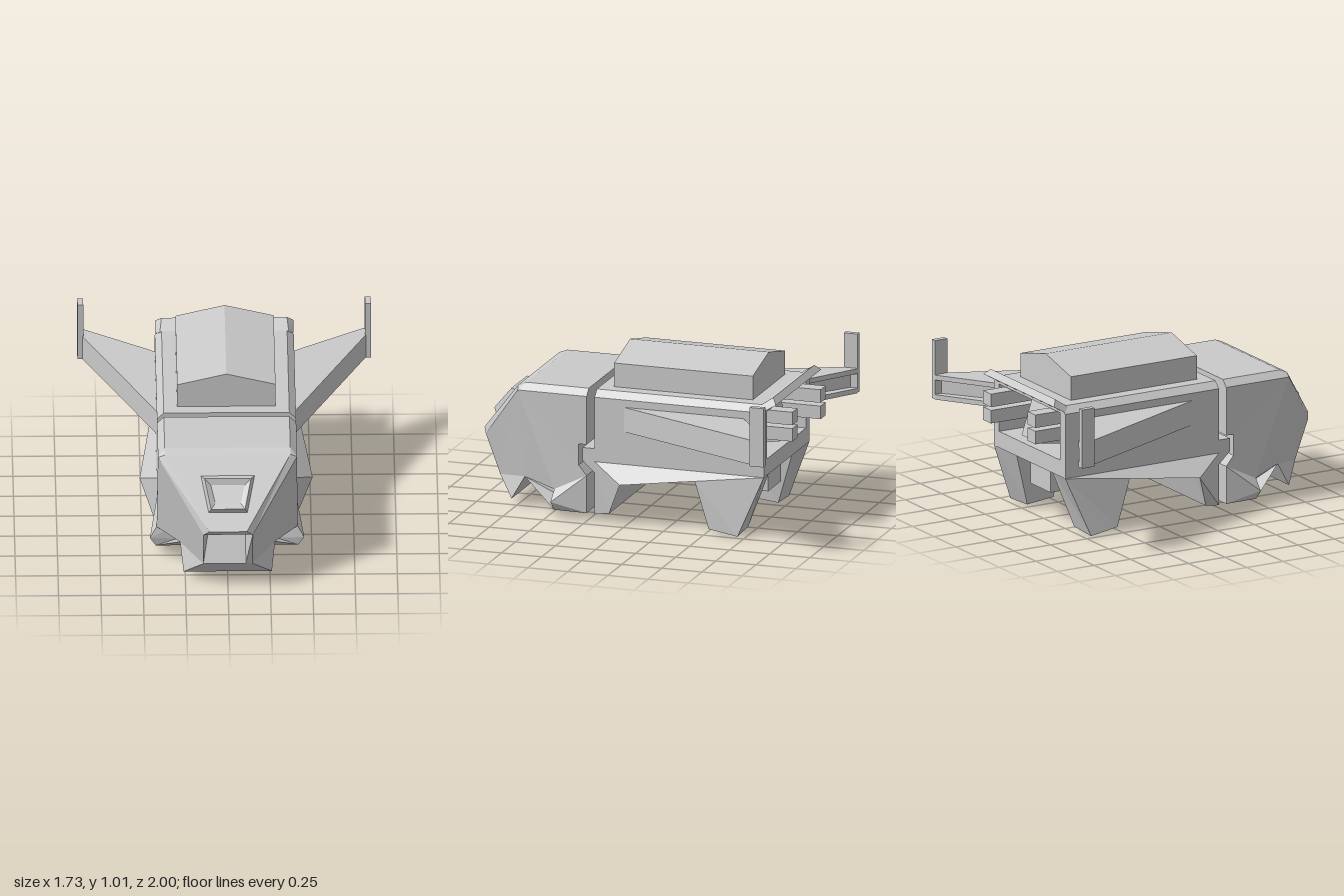
import * as THREE from 'three';

const hullGrey = new THREE.MeshStandardMaterial({ color: 0xcacaca, side: THREE.DoubleSide, flatShading: true });
hullGrey.name = 'hull grey';

const mirror = (p) => [-p[0], p[1], p[2]];
const across = (p, q) => [p, q, mirror(q), mirror(p)];

// Flat-sided mesh from polygons; sided polygons are mirrored in x
function shell(name, sided, spanning = []) {
  const pos = [];
  const add = (f) => {
    for (let i = 1; i < f.length - 1; i++) pos.push(...f[0], ...f[i], ...f[i + 1]);
  };
  sided.forEach((f) => { add(f); add(f.map(mirror).reverse()); });
  spanning.forEach(add);
  const g = new THREE.BufferGeometry();
  g.setAttribute('position', new THREE.Float32BufferAttribute(pos, 3));
  g.computeVertexNormals();
  const m = new THREE.Mesh(g, hullGrey);
  m.name = name;
  return m;
}

function box(name, x0, x1, y0, y1, z0, z1) {
  const m = new THREE.Mesh(new THREE.BoxGeometry(x1 - x0, y1 - y0, z1 - z0), hullGrey);
  m.position.set((x0 + x1) / 2, (y0 + y1) / 2, (z0 + z1) / 2);
  m.name = name;
  return m;
}

function prism(name, pts, depth) {
  const shape = new THREE.Shape(pts.map((p) => new THREE.Vector2(...p)));
  const m = new THREE.Mesh(new THREE.ExtrudeGeometry(shape, { depth, bevelEnabled: false }), hullGrey);
  m.name = name;
  return m;
}

// Wedge-shaped head with cheeks, chin and a small pocket in each lower corner
function head() {
  const R0 = [0.37, 0.795, 0.26], R1 = [0.37, 0.795, 0.65], S0 = [0.41, 0.755, 0.26], S1 = [0.41, 0.755, 0.69];
  const L = [0.37, 0.775, 0.7], N1 = [0.11, 0.42, 1], N2 = [0.145, 0.39, 0.98];
  const C = [0.145, 0.15, 0.89], M1 = [0.105, 0.15, 0.89], M2 = [0.105, 0.39, 0.79];
  const K = [0.28, 0.19, 0.69], J = [0.26, 0.04, 0.78];
  const F = [0.415, 0.17, 0.46], G = [0.455, 0.1, 0.47], H = [0.42, 0.045, 0.46];
  const Q0 = [0.29, 0.18, 0.46], Q1 = [0.29, 0.09, 0.46];
  const a = [0.41, 0.46, 0.26], b = [0.41, 0.46, 0.31], c = [0.41, 0.33, 0.31], d = [0.41, 0.27, 0.26], e = [0.41, 0.04, 0.26];
  return shell('head', [
    [R0, S0, S1, R1], [R1, S1, L], [L, S1, N2, N1],
    [S1, K, C, N2], [S1, F, K],
    [S1, S0, a, b], [S1, b, c, F], [c, d, F], [d, G, F], [d, e, G], [e, H, G],
    [K, F, Q0], [K, Q0, Q1], [F, G, Q1, Q0], [K, Q1, H], [Q1, G, H],
    [C, K, J], [N2, C, M1, M2],
  ], [
    across(R0, R1), across(R1, L), across(L, N1), across(N1, N2), across(N2, M2), across(M2, M1),
    across(C, J), across(J, K), across(K, H), across(H, e), across(e, d), across(d, c),
    across(c, b), across(b, a), across(a, S0), across(S0, R0),
  ]);
}

// Raised tapered visor with a sunken pane, lying on the head's slope
function visor() {
  const ring = (top, bottom, high, low, z) => [[bottom, low, z], [top, high, z]];
  const rings = [
    ring(0.16, 0.115, 0.112, -0.112, -0.003),
    ring(0.137, 0.1, 0.086, -0.1, 0.033),
    ring(0.1, 0.075, 0.05, -0.06, 0.012),
  ];
  const sided = [], spanning = [across(...rings[2])];
  for (let i = 0; i < 2; i++) {
    const [p0, p1] = rings[i], [q0, q1] = rings[i + 1];
    sided.push([p0, p1, q1, q0]);
    spanning.push(across(p0, q0), across(q1, p1));
  }
  const m = shell('visor', sided, spanning);
  m.position.set(0, 0.595, 0.853);
  m.rotation.x = -0.708;
  return m;
}

// Main hull: chamfered roof, open rear bay, flared skirt and hollow belly
function hull() {
  const T0 = [0.37, 0.795, 0.21], T1 = [0.37, 0.795, -0.845], S0 = [0.41, 0.755, 0.21], S1 = [0.41, 0.755, -0.845];
  const P0 = [0.41, 0.36, 0.21], P1 = [0.41, 0.36, -0.845];
  const V = [0.51, 0.26, 0.02], A = [0.41, 0.04, 0.21], B = [0.41, 0.05, 0.12];
  const I0 = [0.36, 0.28, 0.05], I1 = [0.36, 0.36, -0.72], U0 = [0.3, 0.42, 0], U1 = [0.3, 0.42, -0.62];
  const t0 = [0.41, 0.44, 0.21], t1 = [0.41, 0.44, 0.285], t2 = [0.41, 0.36, 0.285], t3 = [0.41, 0.29, 0.21];
  const O0 = [0.35, 0.75, -0.845], O1 = [0.35, 0.46, -0.845], W0 = [0.35, 0.75, -0.62], W1 = [0.35, 0.46, -0.62];
  return shell('hull', [
    [T0, T1, S1, S0], [S0, S1, P1, P0], [P0, P1, V], [P0, V, B, A],
    [V, P1, I1, I0], [V, I0, B], [I0, I1, U1, U0],
    [t0, t1, t2, t3], [T1, S1, O0], [S1, P1, O1, O0], [O0, O1, W1, W0],
  ], [
    across(T0, T1), across(T0, S0), across(S0, P0), across(P0, A), across(A, B), across(B, I0),
    across(I0, U0), across(U0, U1), across(U1, I1), across(I1, P1),
    across(t0, t1), across(t1, t2), across(t2, t3),
    across(T1, O0), across(O0, W0), across(W0, W1), across(W1, O1), across(O1, P1),
  ]);
}

// Pair of tapered rear legs
function rearLegs() {
  const top = [[0.457, 0.312, -0.43], [0.41, 0.36, -0.845], [0.2, 0.37, -0.82], [0.25, 0.37, -0.45]];
  const foot = [[0.465, 0.03, -0.52], [0.465, 0, -0.7], [0.27, 0.01, -0.7], [0.27, 0.03, -0.52]];
  const sided = [top, foot];
  for (let i = 0; i < 4; i++) {
    const j = (i + 1) % 4;
    sided.push([top[i], top[j], foot[j], foot[i]]);
  }
  return shell('rearLegs', sided);
}

// Swept wing made as a channel open to the rear, with an upright tip fin
function wing(side) {
  const g = new THREE.Group();
  g.name = side > 0 ? 'leftWing' : 'rightWing';
  const plate = [[0.4, 0.05], [0.835, -0.915], [0.835, -1], [0.82, -1], [0.45, -0.75], [0.4, -0.71]];
  const core = [[0.4, 0.05], [0.835, -0.915], [0.835, -0.96], [0.4, -0.62]];
  const slab = (name, pts, y0, y1) => {
    const m = prism(name, pts.map(([x, z]) => [side * x, -z]), y1 - y0);
    m.rotation.x = -Math.PI / 2;
    m.position.y = y0;
    g.add(m);
  };
  slab('wingTop', plate, 0.68, 0.71);
  slab('wingCore', core, 0.59, 0.68);
  slab('wingBottom', plate, 0.56, 0.59);
  const xs = [side * 0.83, side * 0.865].sort((p, q) => p - q);
  g.add(box('tipFin', ...xs, 0.56, 0.92, -1, -0.915));
  return g;
}

export function createModel() {
  const model = new THREE.Group();
  model.name = 'walkerShip';
  model.add(head(), visor(), hull(), rearLegs(), wing(1), wing(-1));

  // Neck joint between head and hull
  model.add(box('neck', -0.24, 0.24, 0.52, 0.69, 0.2, 0.27));

  // Gabled pod on the roof
  const pod = prism('roofPod', [[-0.29, 0.78], [0.29, 0.78], [0.29, 0.94], [0, 1.01], [-0.29, 0.94]], 0.865);
  pod.position.z = -0.735;
  model.add(pod);

  // Upturned tail lip
  const q = [[0.38, 0.79, -0.81], [0.37, 0.845, -0.89], [0.408, 0.81, -0.92], [0.408, 0.765, -0.845]];
  model.add(shell('tailLip', [q], q.map((p, i) => across(p, q[(i + 1) % 4]))));

  // Paired prongs in the rear bay
  for (const s of [-1, 1]) {
    for (const y of [0.565, 0.665]) {
      const xs = [s * 0.21, s * 0.3].sort((p, r) => p - r);
      model.add(box('rearProng', ...xs, y, y + 0.08, -0.985, -0.61));
    }
  }

  // Sloping block in the rear bay and the box under the belly
  const c = [[0.1, 0.74, -0.61], [0.1, 0.74, -0.76], [0.1, 0.5, -0.84], [0.1, 0.46, -0.61]];
  model.add(shell('bayBlock', [c], c.map((p, i) => across(p, c[(i + 1) % 4]))));
  model.add(box('bellyBox', -0.115, 0.115, 0.19, 0.43, -0.77, -0.52));
  return model;
}
